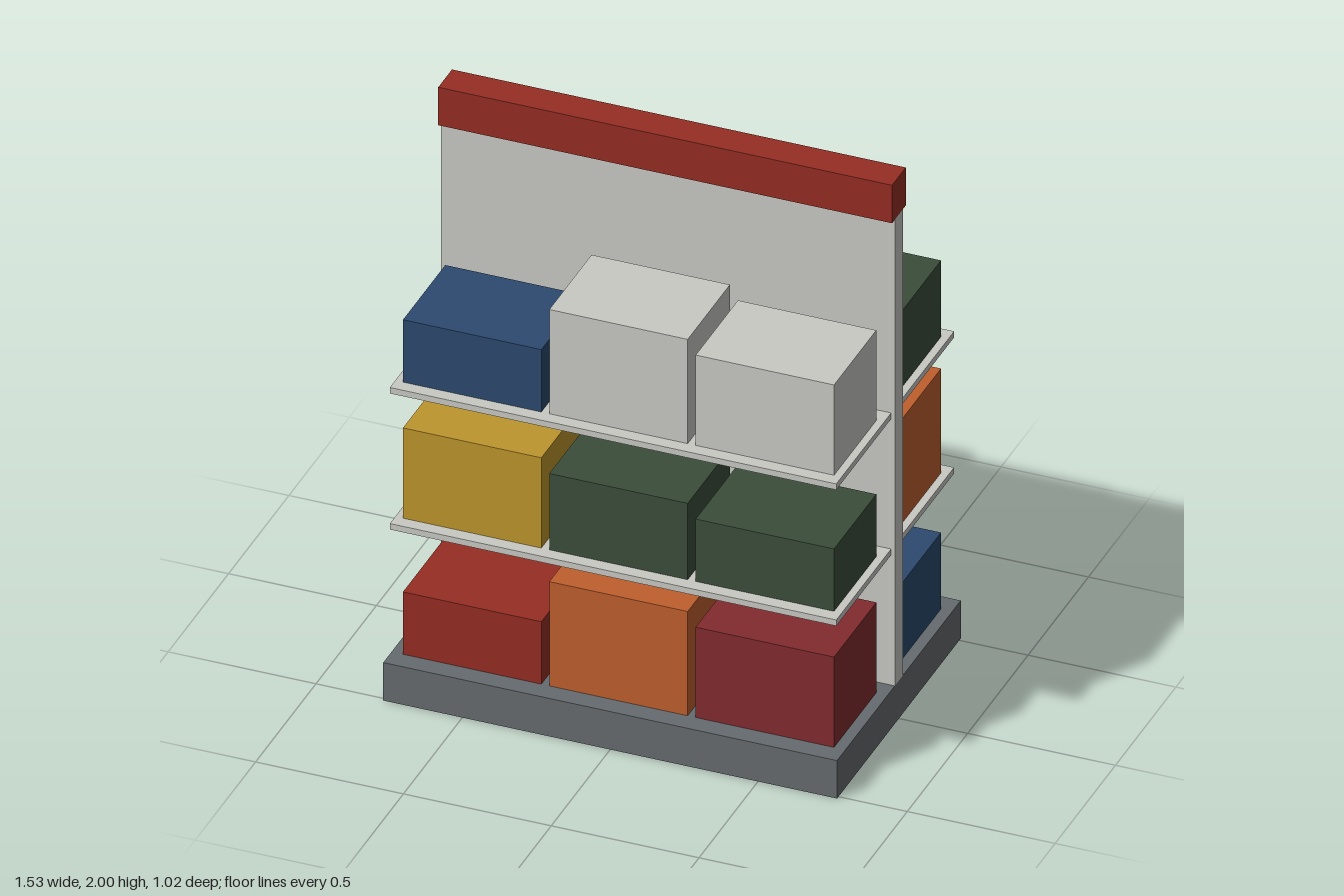
import * as THREE from 'three';

const paint = (name, color) => {
  const m = new THREE.MeshStandardMaterial({ color });
  m.name = name;
  return m;
};

export function createModel() {
  const mats = {
    light: paint('light grey', 0xc9c9c4),
    slate: paint('slate grey', 0x666b6f),
    red: paint('red', 0x952d23),
    maroon: paint('maroon', 0x822b2f),
    orange: paint('orange', 0xbf5f2d),
    yellow: paint('yellow', 0xbe952d),
    green: paint('green', 0x3b4d3a),
    blue: paint('blue', 0x2c4a6e),
  };
  const group = new THREE.Group();

  // Box standing on height y
  const box = (name, mat, w, h, d, x, y, z) => {
    const mesh = new THREE.Mesh(new THREE.BoxGeometry(w, h, d), mats[mat]);
    mesh.name = name;
    mesh.position.set(x, y + h / 2, z);
    group.add(mesh);
  };

  // Frame of the display stand
  box('base', 'slate', 1.535, 0.14, 1.024, 0, 0, 0);
  box('backPanel', 'light', 1.535, 1.72, 0.068, 0, 0.14, 0);
  box('headerBar', 'red', 1.535, 0.14, 0.114, 0, 1.86, 0);

  // Stock per level, ordered from -x to +x: [colour, height step]
  const levels = [0.14, 0.642, 1.144];
  const stock = {
    front: [
      [['red', 0], ['orange', 3], ['maroon', 2]],
      [['yellow', 2], ['green', 1], ['green', 0]],
      [['blue', 0], ['light', 3], ['light', 2]],
    ],
    back: [
      [['light', 3], ['light', 2], ['blue', 1]],
      [['maroon', 1], ['red', 0], ['orange', 3]],
      [['green', 3], ['yellow', 2], ['green', 1]],
    ],
  };

  for (const [side, sign] of [['front', 1], ['back', -1]]) {
    levels.forEach((y, level) => {
      // Shelf boards above the base
      if (level > 0) box(side + 'Shelf', 'light', 1.51, 0.022, 0.455, 0, y - 0.022, sign * 0.2605);
      // Goods on this level
      stock[side][level].forEach(([mat, step], i) => {
        box(side + 'Carton', mat, 0.468, 0.23 + step * 0.0515, 0.35, (i - 1) * 0.495, y, sign * 0.268);
      });
    });
  }
  return group;
}
